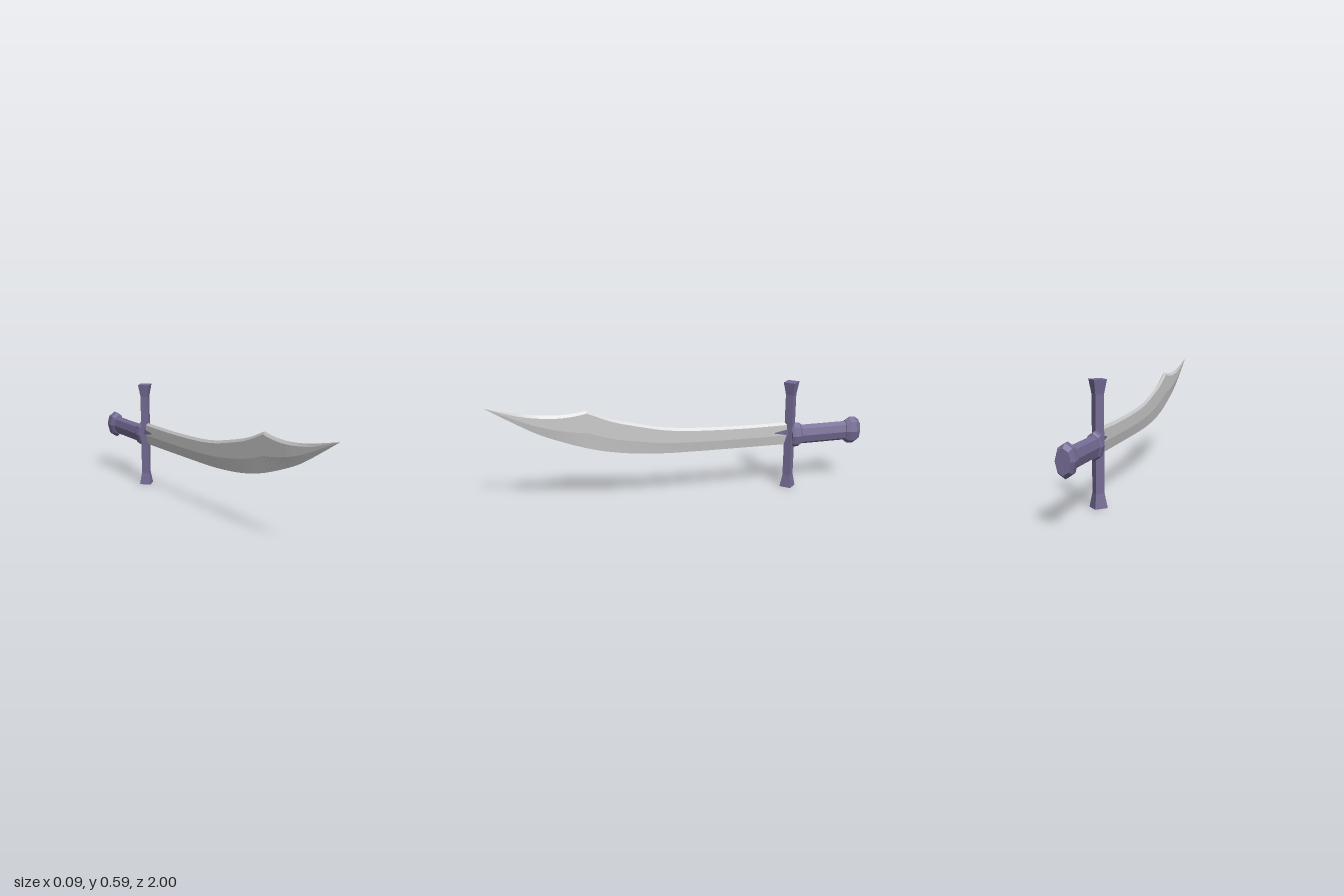
import * as THREE from 'three';

const purple = new THREE.MeshStandardMaterial({ color: 0x756b94, flatShading: true });
const steel = new THREE.MeshStandardMaterial({ color: 0xcccccc, flatShading: true });

const GUARD_Z = -0.593;
const GRIP_Y = 0.294;

const vecs = (pts) => pts.map(([a, b]) => new THREE.Vector2(a, b));

function add(group, name, geometry, material) {
  const mesh = new THREE.Mesh(geometry, material);
  mesh.name = name;
  group.add(mesh);
  return mesh;
}

// Flattened octagonal part turned along -z; points are [radius, distance behind the origin]
function gripPart(points) {
  return new THREE.LatheGeometry(vecs(points), 8)
    .rotateX(-Math.PI / 2)
    .scale(0.6, 1, 1)
    .translate(0, GRIP_Y, 0);
}

// Samples a list of [z, y] curves joined at sharp corners
function sample(curves, steps) {
  return curves.flatMap((pts, i) => {
    const points = new THREE.SplineCurve(vecs(pts)).getSpacedPoints(steps[i]);
    return i ? points.slice(1) : points;
  });
}

// Curved blade lofted from six-sided sections: spine, shoulders, bevel lines, cutting edge
function bladeGeometry() {
  const steps = [28, 18];
  const spine = sample([
    [[-0.59, 0.37], [-0.34, 0.37], [-0.07, 0.38], [0.1, 0.397], [0.25, 0.43], [0.383, 0.467], [0.506, 0.52]],
    [[0.506, 0.52], [0.58, 0.508], [0.678, 0.506], [0.81, 0.522], [1, 0.566]],
  ], steps);
  const edge = sample([
    [[-0.59, 0.244], [-0.29, 0.247], [-0.02, 0.251], [0.14, 0.257], [0.3, 0.273], [0.42, 0.295], [0.506, 0.318]],
    [[0.506, 0.318], [0.624, 0.36], [0.758, 0.418], [0.89, 0.496], [1, 0.566]],
  ], steps);

  const positions = [];
  const index = [];
  spine.forEach((s, i) => {
    const e = edge[i];
    const h = s.distanceTo(e);
    const w = 0.01 * Math.min(1, h / 0.12);
    const shoulder = h > 0 ? Math.min(0.014 / h, 0.25) : 0;
    const section = [[0, 0], [w, shoulder], [w, 0.58], [0, 1], [-w, 0.58], [-w, shoulder]];
    for (const [x, t] of section) {
      positions.push(x, THREE.MathUtils.lerp(s.y, e.y, t), THREE.MathUtils.lerp(s.x, e.x, t));
    }
    if (i === 0) return;
    for (let k = 0; k < 6; k++) {
      const n = (k + 1) % 6;
      const a = (i - 1) * 6 + k, b = (i - 1) * 6 + n, c = i * 6 + n, d = i * 6 + k;
      index.push(a, d, b, b, d, c);
    }
  });
  // Rear cap
  for (let k = 1; k < 5; k++) index.push(0, k, k + 1);

  const geometry = new THREE.BufferGeometry();
  geometry.setAttribute('position', new THREE.Float32BufferAttribute(positions, 3));
  geometry.setIndex(index);
  geometry.computeVertexNormals();
  return geometry;
}

// Wedge box narrowing towards the blade
function langetGeometry() {
  const geometry = new THREE.BoxGeometry(0.034, 0.038, 0.09);
  const p = geometry.attributes.position;
  for (let i = 0; i < p.count; i++) {
    if (p.getZ(i) > 0) p.setXY(i, p.getX(i) * 0.65, p.getY(i) * 0.12);
  }
  geometry.computeVertexNormals();
  return geometry.translate(0, 0.315, -0.55);
}

export function createModel() {
  const sword = new THREE.Group();
  sword.name = 'curvedSword';

  add(sword, 'blade', bladeGeometry(), steel);
  add(sword, 'langet', langetGeometry(), purple);

  // Diamond-section crossguard with flared ends
  const guard = new THREE.LatheGeometry(vecs([
    [0, 0], [0.045, 0], [0.03, 0.068], [0.03, 0.524], [0.045, 0.592], [0, 0.592],
  ]), 4);
  add(sword, 'crossguard', guard, purple).position.z = GUARD_Z;

  // Hilt
  add(sword, 'collar', gripPart([
    [0, 0.6], [0.058, 0.6], [0.068, 0.615], [0.068, 0.645], [0.058, 0.658], [0, 0.658],
  ]), purple);
  add(sword, 'grip', gripPart([[0, 0.6], [0.054, 0.6], [0.054, 0.94], [0, 0.94]]), purple);
  add(sword, 'pommel', gripPart([
    [0, 0.92], [0.06, 0.92], [0.076, 0.943], [0.076, 0.975], [0.058, 1], [0, 1],
  ]), purple);

  return sword;
}
